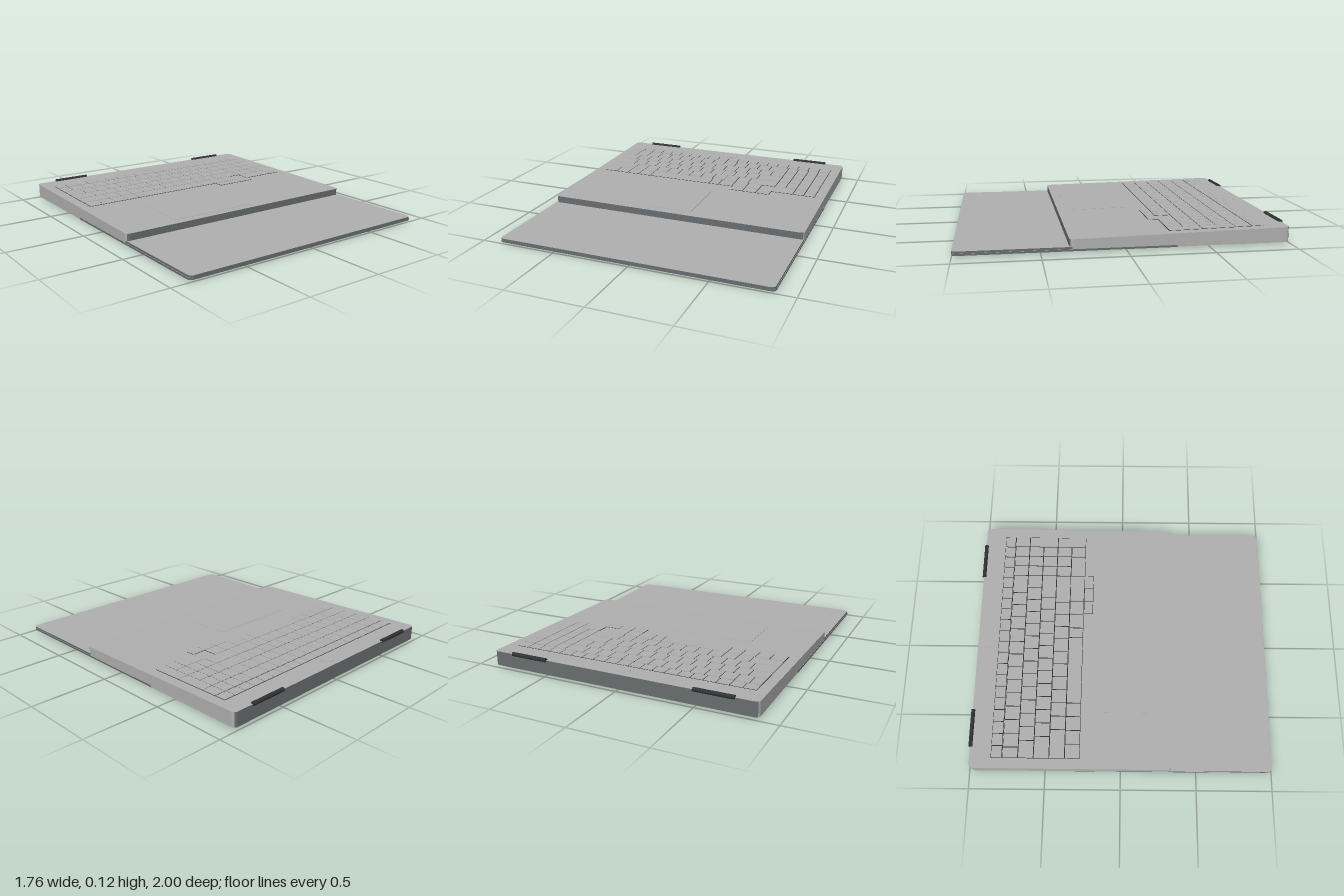
import * as THREE from 'three';

const mat = (name, color) => {
  const m = new THREE.MeshStandardMaterial({ color });
  m.name = name;
  return m;
};

export function createModel() {
  const silver = mat('silver', 0xb0b0b0);
  const trim = mat('darkTrim', 0x6a6d6f);
  const black = mat('blackRubber', 0x303234);
  const model = new THREE.Group();
  model.name = 'openLaptop';

  const add = (parent, name, geo, material, x = 0, y = 0, z = 0) => {
    const m = new THREE.Mesh(geo, material);
    m.name = name;
    m.position.set(x, y, z);
    parent.add(m);
    return m;
  };

  // Rounded slab between z0 and z1; top(z) gives the height of the upper face.
  // Faces are sorted into silver (0) and trim (1) by the given rule.
  const slab = (hw, z0, z1, r, bottom, top, isTrim) => {
    const s = new THREE.Shape();
    s.moveTo(-hw + r, -z1);
    s.lineTo(hw - r, -z1).quadraticCurveTo(hw, -z1, hw, -z1 + r);
    s.lineTo(hw, -z0 - r).quadraticCurveTo(hw, -z0, hw - r, -z0);
    s.lineTo(-hw + r, -z0).quadraticCurveTo(-hw, -z0, -hw, -z0 - r);
    s.lineTo(-hw, -z1 + r).quadraticCurveTo(-hw, -z1, -hw + r, -z1);
    const g = new THREE.ExtrudeGeometry(s, { depth: 1, bevelEnabled: false, curveSegments: 6 });
    g.rotateX(-Math.PI / 2);
    const p = g.attributes.position;
    for (let i = 0; i < p.count; i++) {
      p.setY(i, bottom + p.getY(i) * (top(p.getZ(i)) - bottom));
    }
    g.computeVertexNormals();
    g.clearGroups();
    const n = g.attributes.normal;
    let start = 0;
    let current = -1;
    for (let i = 0; i <= p.count; i += 3) {
      const k = i === p.count ? -2 : Number(isTrim(n.getX(i), n.getY(i)));
      if (k === current) continue;
      if (i > 0) g.addGroup(start, i - start, current);
      start = i;
      current = k;
    }
    return g;
  };

  // Wedge-shaped base with silver deck and flanks, darker front and back
  const deckY = z => 0.08 + (0.335 - z) * 0.0189;
  const tilt = Math.atan(0.0189);
  add(model, 'base', slab(0.88, -0.99, 0.335, 0.03, 0.012, deckY,
    (nx, ny) => Math.abs(ny) < 0.5 && Math.abs(nx) < 0.7), [silver, trim]);

  // Flat lid: outer shell and the display layer on top of it
  const edgeOnly = (nx, ny) => Math.abs(ny) < 0.5;
  add(model, 'lidShell', slab(0.881, -0.32, 1, 0.03, 0.01, () => 0.022, edgeOnly), [silver, trim]);
  add(model, 'lidDisplay', slab(0.878, -0.31, 1, 0.03, 0.021, () => 0.035, edgeOnly), [silver, trim]);

  // Plate lying on the sloping deck
  const deckPlate = (parent, name, x0, x1, z0, z1, h, material) => {
    const z = (z0 + z1) / 2;
    const m = add(parent, name, new THREE.BoxGeometry(x1 - x0, h, z1 - z0), material,
      (x0 + x1) / 2, deckY(z) + h / 2 - 0.0005, z);
    m.rotation.x = tilt;
  };

  const keyboard = new THREE.Group();
  keyboard.name = 'keyboard';
  model.add(keyboard);
  const GAP = 0.003;
  const key = (x0, x1, z0, z1) => {
    // Dark surround shows as a thin line between neighbouring keys
    deckPlate(keyboard, 'keyGap', x0, x1, z0, z1, 0.0015, black);
    deckPlate(keyboard, 'key', x0 + GAP, x1 - GAP, z0 + GAP, z1 - GAP, 0.005, silver);
  };
  const LEFT = -0.813;
  const MAIN = 0.505;
  const RIGHT = 0.813;

  // Top row of equal narrow keys
  const step = (RIGHT - LEFT) / 20;
  for (let i = 0; i < 20; i++) key(LEFT + i * step, LEFT + (i + 1) * step, -0.85, -0.777);

  // Letter rows: one wide first key, equal keys, one wide last key
  const rows = [
    { z: -0.775, first: -0.741, last: 0.37, count: 12 },
    { z: -0.673, first: -0.695, last: 0.41, count: 12 },
    { z: -0.571, first: -0.667, last: 0.337, count: 11 },
    { z: -0.469, first: -0.62, last: 0.3, count: 10 },
  ];
  const DEPTH = 0.102;
  for (const { z, first, last, count } of rows) {
    key(LEFT, first, z, z + DEPTH);
    const w = (last - first) / count;
    for (let i = 0; i < count; i++) key(first + i * w, first + (i + 1) * w, z, z + DEPTH);
    key(last, MAIN, z, z + DEPTH);
  }

  // Bottom row with the space bar, then the arrow cluster
  const bottomRow = [LEFT, -0.717, -0.624, -0.53, -0.437, 0.034, 0.106, 0.21, 0.31, 0.41];
  for (let i = 0; i + 1 < bottomRow.length; i++) key(bottomRow[i], bottomRow[i + 1], -0.367, -0.268);
  for (let i = 0; i < 3; i++) key(0.214 + i * 0.097, 0.311 + i * 0.097, -0.268, -0.203);

  // Number pad with two tall keys in the last column
  const padW = (RIGHT - MAIN) / 4;
  for (let r = 0; r < 5; r++) {
    const z = -0.775 + r * DEPTH;
    const cols = r === 0 ? 4 : 3;
    for (let c = 0; c < cols; c++) {
      if (r === 4 && c === 1) continue;
      const span = r === 4 && c === 0 ? 2 : 1;
      key(MAIN + c * padW, MAIN + (c + span) * padW, z, z + DEPTH);
    }
  }
  for (const z of [-0.673, -0.469]) key(RIGHT - padW, RIGHT, z, z + 2 * DEPTH);

  // Touchpad and round power button
  deckPlate(model, 'touchpad', -0.5, 0.105, -0.125, 0.275, 0.002, silver);
  const button = add(model, 'powerButton', new THREE.CylinderGeometry(0.042, 0.042, 0.003, 32),
    silver, -0.008, deckY(-0.91) + 0.0005, -0.91);
  button.rotation.x = tilt;

  // Hinge barrels and short front feet, mirrored
  for (const side of [-1, 1]) {
    const hinge = add(model, 'hinge', new THREE.CylinderGeometry(0.013, 0.013, 0.25, 20),
      black, side * 0.615, 0.105, -0.987);
    hinge.rotation.z = Math.PI / 2;
    add(model, 'frontFoot', new THREE.BoxGeometry(0.34, 0.012, 0.032), black, side * 0.585, 0.006, 0.207);
  }
  // Long rear foot
  add(model, 'rearFoot', new THREE.BoxGeometry(1.53, 0.013, 0.032), black, 0, 0.0065, -0.865);

  return model;
}
